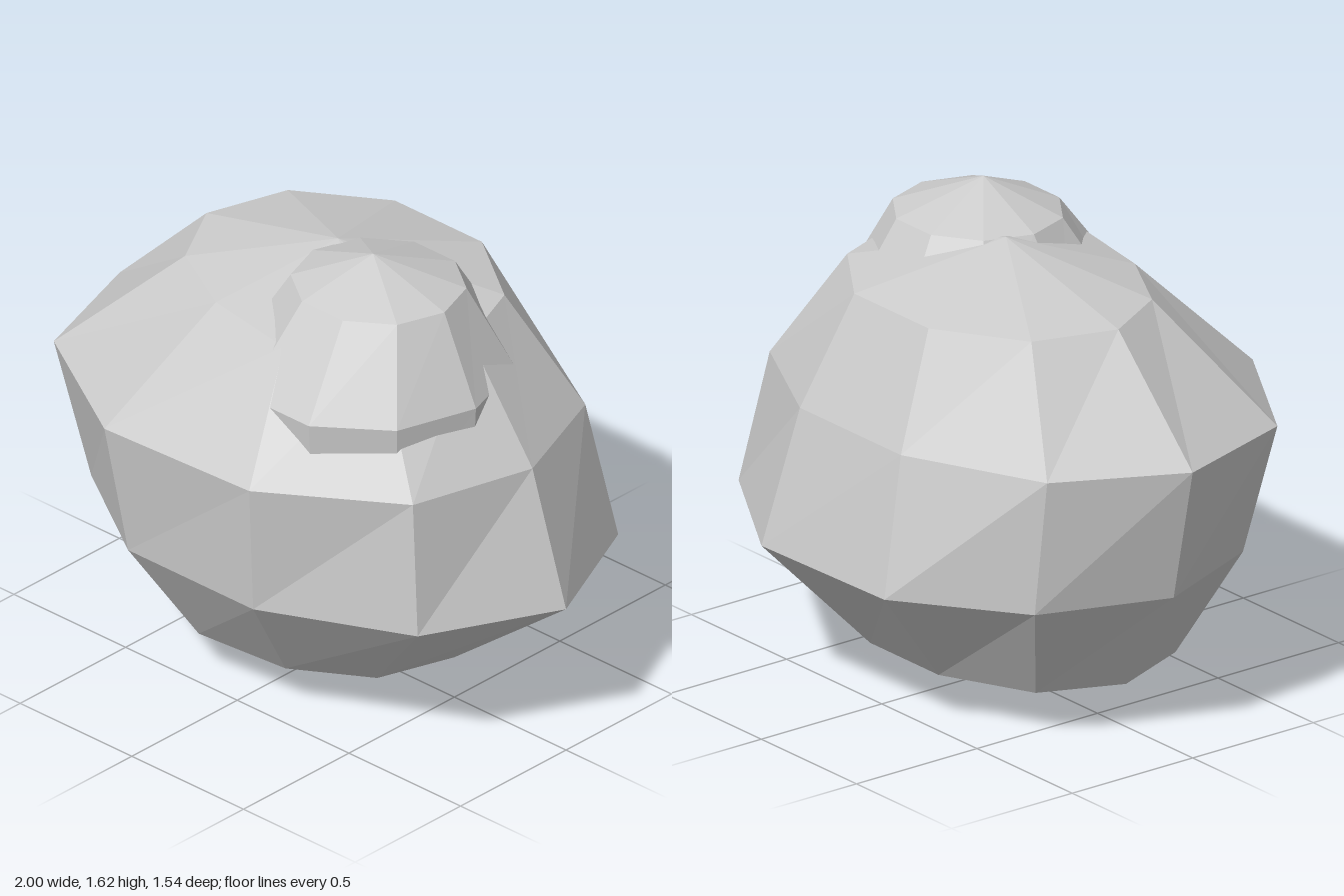
import * as THREE from 'three';

const SIDES = 10;

// Faceted blob: a top point, rings of [x, z] pairs from high to low, a bottom point.
// Each ring starts at -x and runs past the front (+z) to +x and round the back.
function facetedBlob(name, top, rings, bottom) {
  const pos = [];
  const tri = (...pts) => pts.forEach((p) => pos.push(...p));
  const at = (r, i) => {
    const [x, z] = rings[r].points[i % SIDES];
    return [x, rings[r].y, z];
  };
  const last = rings.length - 1;
  for (let i = 0; i < SIDES; i++) {
    tri(top, at(0, i), at(0, i + 1));
    for (let r = 0; r < last; r++) {
      tri(at(r, i + 1), at(r, i), at(r + 1, i));
      tri(at(r, i + 1), at(r + 1, i), at(r + 1, i + 1));
    }
    tri(at(last, i + 1), at(last, i), bottom);
  }
  const geometry = new THREE.BufferGeometry();
  geometry.setAttribute('position', new THREE.Float32BufferAttribute(pos, 3));
  geometry.computeVertexNormals();
  const mesh = new THREE.Mesh(
    geometry,
    new THREE.MeshStandardMaterial({ color: 0xcccccc, flatShading: true })
  );
  mesh.name = name;
  return mesh;
}

// Regular ring of [x, z] pairs about a centre
function regularRing(y, cx, cz, rx, rz) {
  const points = [];
  for (let i = 0; i < SIDES; i++) {
    const a = (i / SIDES) * Math.PI * 2;
    points.push([cx - rx * Math.cos(a), cz + rz * Math.sin(a)]);
  }
  return { y, points };
}

export function createModel() {
  const group = new THREE.Group();
  group.name = 'rock';

  // Main boulder, irregular rings
  group.add(facetedBlob('boulder', [-0.02, 1.52, 0], [
    { y: 1.38, points: [[-0.61, 0], [-0.47, 0.25], [-0.19, 0.4], [0.17, 0.46], [0.45, 0.29],
      [0.57, 0], [0.46, -0.28], [0.17, -0.48], [-0.22, -0.48], [-0.52, -0.29]] },
    { y: 1.0, points: [[-1, 0], [-0.85, 0.47], [-0.34, 0.77], [0.28, 0.74], [0.73, 0.44],
      [0.85, 0], [0.69, -0.42], [0.24, -0.65], [-0.29, -0.65], [-0.78, -0.43]] },
    { y: 0.53, points: [[-0.9, 0], [-0.72, 0.43], [-0.3, 0.7], [0.26, 0.7], [0.77, 0.46],
      [1, 0], [0.79, -0.47], [0.29, -0.77], [-0.33, -0.75], [-0.74, -0.45]] },
    { y: 0.15, points: [[-0.65, 0], [-0.53, 0.3], [-0.21, 0.46], [0.15, 0.43], [0.41, 0.27],
      [0.5, 0], [0.41, -0.27], [0.15, -0.43], [-0.21, -0.43], [-0.53, -0.28]] },
  ], [-0.03, 0, 0]));

  // Smaller knob sunk into the upper front
  group.add(facetedBlob('knob', [0.25, 1.62, 0.12], [
    regularRing(1.51, 0.255, 0.1, 0.295, 0.28),
    regularRing(1.22, 0.25, 0.12, 0.46, 0.48),
    regularRing(0.87, 0.25, 0.12, 0.44, 0.45),
    regularRing(0.58, 0.25, 0.12, 0.28, 0.28),
  ], [0.25, 0.47, 0.12]));

  return group;
}
